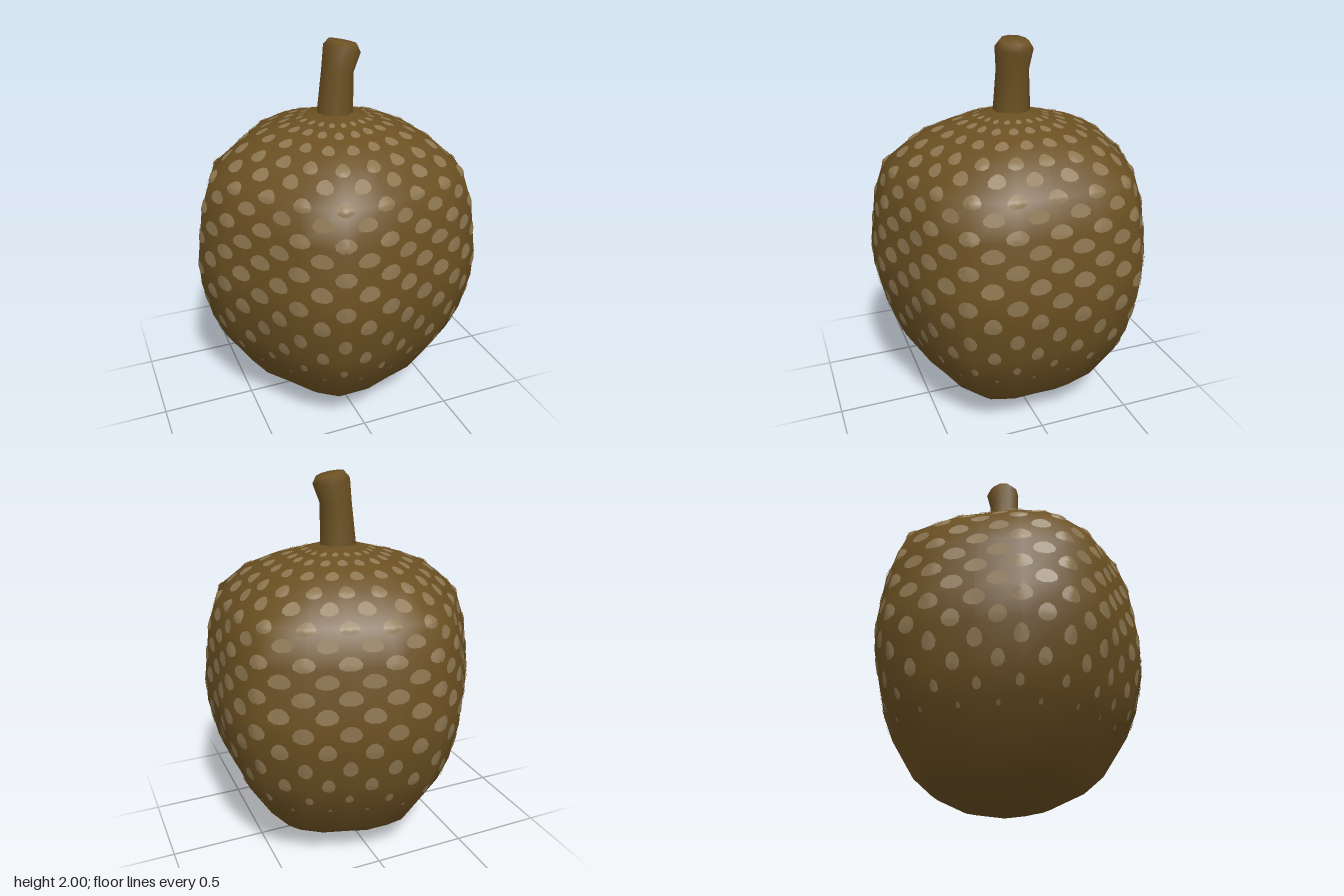
import * as THREE from 'three';

const CX = 0.022; // the fruit's axis sits slightly off centre
const SIDES = 20;

// Mean radius by height, from the bottom tip to under the stem
const profile = [
  [0, 0], [0.215, 0.045], [0.385, 0.13], [0.485, 0.22], [0.615, 0.43], [0.672, 0.57],
  [0.717, 0.78], [0.721, 0.93], [0.687, 1.2], [0.632, 1.37], [0.48, 1.5],
  [0.345, 1.56], [0.2, 1.603], [0.09, 1.635], [0, 1.63],
];

// Five soft lobes around the axis
const lobe = (a) => 1 - 0.055 * Math.cos(5 * a);

function radiusAt(y) {
  for (let i = 1; i < profile.length - 1; i++) {
    const [r0, y0] = profile[i - 1];
    const [r1, y1] = profile[i];
    if (y <= y1) return r0 + (r1 - r0) * (y - y0) / (y1 - y0);
  }
  return 0.09;
}

// Point on the faceted skin: blend between the two nearest ribs
function skinPoint(a, y) {
  const step = (2 * Math.PI) / SIDES;
  const i = Math.floor(a / step + 1e-6);
  const t = a / step - i;
  const r = radiusAt(y);
  const rib = (k) => new THREE.Vector3(
    CX + r * lobe(k * step) * Math.cos(k * step), y, r * lobe(k * step) * Math.sin(k * step));
  return rib(i).lerp(rib(i + 1), t);
}

function makeGeometry(pos, idx) {
  const g = new THREE.BufferGeometry();
  g.setAttribute('position', new THREE.Float32BufferAttribute(pos, 3));
  g.setIndex(idx);
  g.computeVertexNormals();
  return g;
}

// Skin a stack of rings, listed from bottom to top; pointAt(ring, angle) gives [x, y, z]
function loft(rings, sides, pointAt) {
  const pos = [], idx = [];
  rings.forEach((ring, j) => {
    for (let i = 0; i < sides; i++) {
      pos.push(...pointAt(ring, (i / sides) * 2 * Math.PI));
      if (j === rings.length - 1) continue;
      const a = j * sides + i, b = j * sides + (i + 1) % sides;
      const c = a + sides, d = b + sides;
      idx.push(a, c, b, b, c, d);
    }
  });
  return makeGeometry(pos, idx);
}

// Rows of spots: height, half width, half height
const spotRows = [
  [0.405, 0.01, 0.013], [0.49, 0.02, 0.028], [0.59, 0.032, 0.042], [0.69, 0.036, 0.046],
  [0.79, 0.044, 0.045], [0.885, 0.052, 0.043], [0.975, 0.054, 0.04], [1.06, 0.056, 0.038],
  [1.14, 0.056, 0.036], [1.22, 0.054, 0.034], [1.3, 0.05, 0.032], [1.37, 0.046, 0.029],
  [1.44, 0.042, 0.026], [1.497, 0.038, 0.021], [1.548, 0.032, 0.014],
  [1.585, 0.024, 0.009], [1.609, 0.015, 0.006],
];

function spotsGeometry() {
  const pos = [], idx = [], N = 10, LIFT = 0.005;
  spotRows.forEach(([y, hw, hh], row) => {
    for (let k = 0; k < SIDES; k++) {
      // Every other row is shifted by half a step
      const a0 = ((k + (row % 2 ? 0 : 0.5)) / SIDES) * 2 * Math.PI;
      const r = radiusAt(y) * lobe(a0);
      // Outward direction for lifting the spot off the skin
      const slope = (radiusAt(y + 0.02) - radiusAt(y - 0.02)) / 0.04;
      const out = new THREE.Vector3(Math.cos(a0), -slope, Math.sin(a0)).normalize();
      const base = pos.length / 3;
      const add = (u, v) => {
        const p = skinPoint(a0 + (u * hw) / r, y + v * hh).addScaledVector(out, LIFT);
        pos.push(p.x, p.y, p.z);
      };
      add(0, 0);
      for (const s of [0.5, 1]) {
        for (let i = 0; i < N; i++) {
          const t = (i / N) * 2 * Math.PI;
          // Rounded outline, a little wider towards its lower edge
          add(s * Math.cos(t) * (1 - 0.18 * Math.sin(t)), s * Math.sin(t));
        }
      }
      for (let i = 0; i < N; i++) {
        const a = base + 1 + i, b = base + 1 + (i + 1) % N;
        idx.push(base, a, b, a, a + N, b, b, a + N, b + N);
      }
    }
  });
  // The angle runs clockwise seen from outside, so flip every triangle
  for (let i = 0; i < idx.length; i += 3) [idx[i + 1], idx[i + 2]] = [idx[i + 2], idx[i + 1]];
  return makeGeometry(pos, idx);
}

// Stem rings: centre x, centre y, radius, tilt of the ring
const stemRings = [
  [0.022, 1.6, 0.096, 0], [0.022, 1.64, 0.095, 0], [0.033, 1.84, 0.083, -0.06],
  [0.057, 1.95, 0.096, -0.2], [0.062, 1.985, 0.072, -0.2], [0.062, 1.987, 0, 0],
];

export function createModel() {
  const brown = new THREE.MeshStandardMaterial({ color: 0x6b5022 });
  brown.name = 'brown skin';
  const tan = new THREE.MeshStandardMaterial({ color: 0x8d7650 });
  tan.name = 'tan spots';

  const group = new THREE.Group();
  group.name = 'spottedFruit';
  const add = (name, geometry, material) => {
    const mesh = new THREE.Mesh(geometry, material);
    mesh.name = name;
    group.add(mesh);
  };

  // Lobed body
  add('body', loft(profile, SIDES, ([r, y], a) => [
    CX + r * lobe(a) * Math.cos(a), y, r * lobe(a) * Math.sin(a)]), brown);

  // Painted spots
  add('spots', spotsGeometry(), tan);

  // Leaning stem with a tilted, rounded end
  add('stem', loft(stemRings, 10, ([x, y, r, tilt], a) => [
    x + r * Math.cos(a), y + tilt * r * Math.cos(a), r * Math.sin(a)]), brown);

  return group;
}
